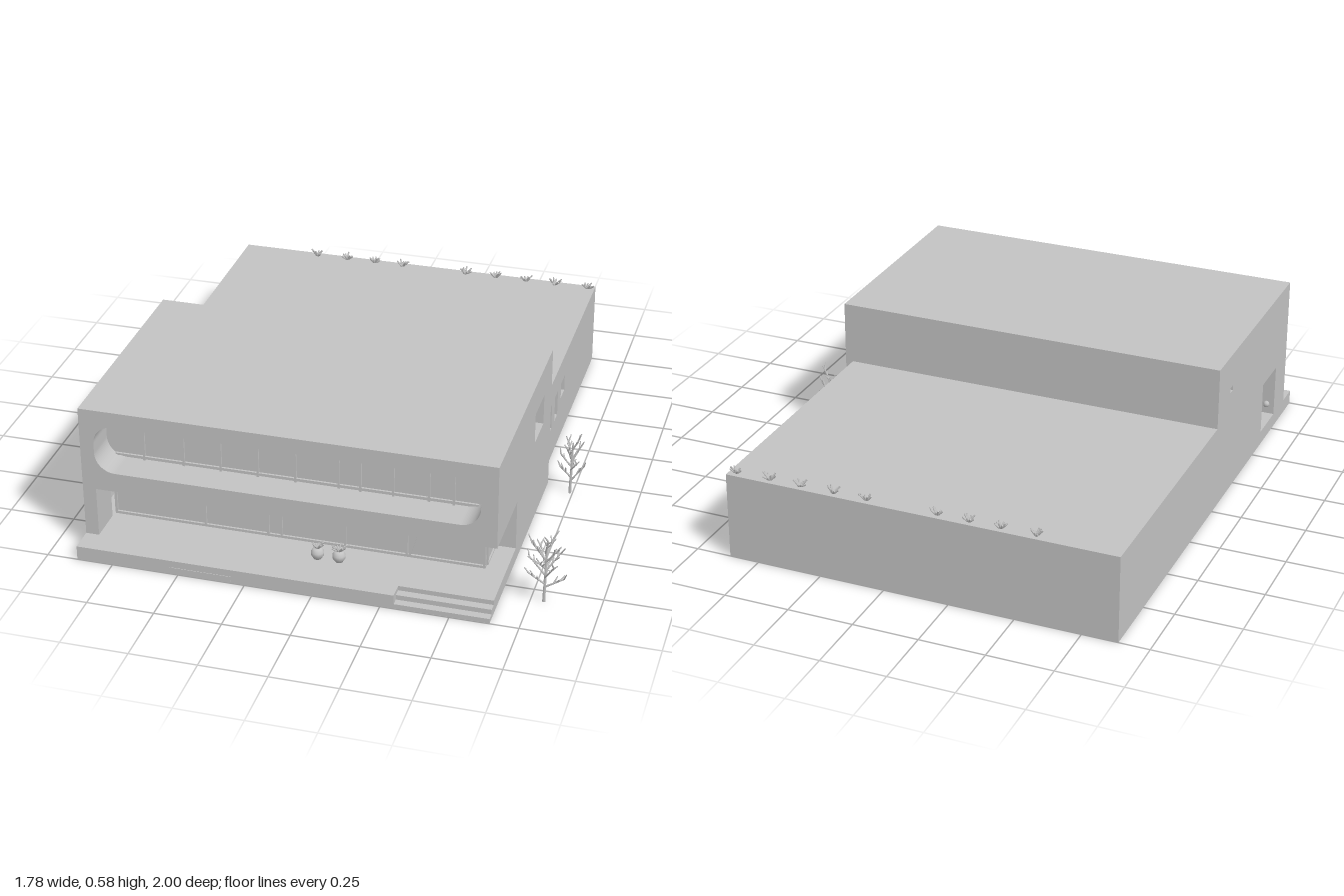
import * as THREE from 'three';
import { mergeGeometries } from 'three/addons/utils/BufferGeometryUtils.js';

export function createModel() {
  const house = new THREE.Group();
  house.name = 'house';
  const grey = new THREE.MeshStandardMaterial({ color: 0xc2c2c2 });
  grey.name = 'plaster grey';

  let seed = 11;
  const rand = () => (seed = (seed * 16807) % 2147483647) / 2147483647;
  const add = (name, geo, parent = house) => {
    const m = new THREE.Mesh(geo, grey);
    m.name = name;
    parent.add(m);
    return m;
  };
  // Box from its minimum and maximum corners
  const block = (name, x0, x1, y0, y1, z0, z1) => add(name,
    new THREE.BoxGeometry(x1 - x0, y1 - y0, z1 - z0)
      .translate((x0 + x1) / 2, (y0 + y1) / 2, (z0 + z1) / 2));
  const rectPath = (a0, a1, b0, b1) => new THREE.Path([
    [a0, b0], [a0, b1], [a1, b1], [a1, b0]].map(p => new THREE.Vector2(...p)));
  // Side wall drawn in (z, y), its outer face at x
  const sideWall = (name, x, thick, outline, holes) => {
    const s = new THREE.Shape(outline.map(p => new THREE.Vector2(...p)));
    holes.forEach(h => s.holes.push(rectPath(...h)));
    const g = new THREE.ExtrudeGeometry(s, { depth: thick, bevelEnabled: false });
    return add(name, g.rotateY(-Math.PI / 2).translate(x, 0, 0));
  };
  // Thin window frame on a plane facing +x
  const sideFrame = (x, z0, z1, y0, y1) => {
    const t = 0.006;
    block('windowFrame', x, x + t, y0, y0 + t, z0, z1);
    block('windowFrame', x, x + t, y1 - t, y1, z0, z1);
    block('windowFrame', x, x + t, y0, y1, z0, z0 + t);
    block('windowFrame', x, x + t, y0, y1, z1 - t, z1);
  };

  // Rear wing with three small windows
  block('rearWing', -0.885, 0.575, 0, 0.335, -1, 0.03);
  const rearWindows = [[-0.155, -0.05, 0.135, 0.24], [-0.265, -0.21, 0.135, 0.24], [-0.395, -0.325, 0.175, 0.24]];
  sideWall('rearWingSideWall', 0.615, 0.04, [[-1, 0], [0.03, 0], [0.03, 0.335], [-1, 0.335]], rearWindows);
  rearWindows.forEach(w => sideFrame(0.575, ...w));
  block('windowMullion', 0.575, 0.583, 0.135, 0.24, -0.088, -0.082);

  // Front block: core, recessed ground floor, upper storey
  block('frontCore', -0.835, 0.6, 0, 0.575, 0.025, 0.59);
  block('groundFloorRoom', -0.835, 0.57, 0.05, 0.25, 0.58, 0.74);
  block('upperRoom', -0.835, 0.6, 0.25, 0.575, 0.58, 0.78);
  sideWall('leftWall', -0.835, 0.05,
    [[0.025, 0], [0.905, 0], [0.905, 0.575], [0.025, 0.575]],
    [[0.6, 0.77, 0.055, 0.26], [0.165, 0.195, 0.42, 0.44]]);
  sideWall('rightWall', 0.645, 0.05,
    [[0.025, 0], [0.59, 0], [0.59, 0.25], [0.905, 0.25], [0.905, 0.575], [0.025, 0.575]],
    [[0.16, 0.31, 0.335, 0.455]]);
  sideFrame(0.6, 0.16, 0.31, 0.335, 0.455);
  sideFrame(0.57, 0.605, 0.73, 0.06, 0.24);

  // Upper facade with the long rounded balcony opening
  const facade = new THREE.Shape([[-0.835, 0.25], [0.595, 0.25], [0.595, 0.575], [-0.835, 0.575]]
    .map(p => new THREE.Vector2(...p)));
  const [l, r, b, t, rad] = [-0.833, 0.585, 0.325, 0.515, 0.075];
  const slot = new THREE.Path();
  slot.absarc(r - rad, t - rad, rad, 0, Math.PI / 2);
  slot.absarc(l + rad, t - rad, rad, Math.PI / 2, Math.PI);
  slot.absarc(l + rad, b + rad, rad, Math.PI, Math.PI * 1.5);
  slot.absarc(r - rad, b + rad, rad, Math.PI * 1.5, Math.PI * 2);
  facade.holes.push(slot);
  add('upperFacade', new THREE.ExtrudeGeometry(facade,
    { depth: 0.13, bevelEnabled: false, curveSegments: 10 }).translate(0, 0, 0.775));

  // Window bars on both storeys
  for (const x of [-0.69, -0.54, -0.4, -0.26, -0.12, 0.04, 0.12, 0.24, 0.37, 0.46])
    block('upperMullion', x - 0.004, x + 0.004, 0.325, 0.515, 0.78, 0.788);
  block('upperWindowHead', -0.8, 0.55, 0.497, 0.505, 0.78, 0.788);
  block('upperWindowSill', -0.8, 0.55, 0.333, 0.341, 0.78, 0.788);
  for (const x of [-0.826, -0.48, -0.24, -0.19, 0.05, 0.28, 0.565])
    block('groundMullion', x - 0.004, x + 0.004, 0.06, 0.25, 0.74, 0.748);
  block('groundWindowHead', -0.83, 0.57, 0.24, 0.25, 0.74, 0.748);
  block('groundWindowSill', -0.83, 0.57, 0.055, 0.065, 0.74, 0.748);
  const brace = add('slantedBar', new THREE.BoxGeometry(0.008, 0.185, 0.008));
  brace.position.set(0.315, 0.15, 0.746);
  brace.rotation.z = -0.27;

  // Terrace and entrance steps
  block('terrace', -0.835, 0.3, 0, 0.055, 0.55, 1);
  block('terraceEdge', -0.885, -0.835, 0, 0.055, 0.9, 1);
  block('terraceRight', 0.3, 0.645, 0, 0.055, 0.55, 0.937);
  block('upperStep', 0.3, 0.645, 0, 0.037, 0.93, 0.968);
  block('lowerStep', 0.3, 0.645, 0, 0.018, 0.96, 0.998);
  block('terracePlate', -0.53, -0.3, 0.006, 0.028, 0.995, 1.002);

  // Small lamp on the left wall
  const lamp = add('wallLamp', new THREE.SphereGeometry(0.013, 8, 6));
  lamp.position.set(-0.885, 0.15, 0.66);

  // Bare branching plants, each merged into one mesh
  const up = new THREE.Vector3(0, 1, 0);
  const twig = (list, p, q, rad) => {
    const d = q.clone().sub(p);
    const g = new THREE.CylinderGeometry(rad * 0.55, rad, d.length(), 5);
    g.applyQuaternion(new THREE.Quaternion().setFromUnitVectors(up, d.normalize()));
    list.push(g.translate((p.x + q.x) / 2, (p.y + q.y) / 2, (p.z + q.z) / 2));
  };
  const tree = (name, x, z, height, spread, boughs) => {
    const list = [], top = new THREE.Vector3(0.005, height * 0.88, 0);
    twig(list, new THREE.Vector3(), top, 0.006);
    for (let i = 0; i < boughs; i++) {
      const a = i * 2.4, f = i / (boughs - 1);
      const p = new THREE.Vector3(0, height * (0.22 + 0.5 * f), 0);
      const reach = spread * (1 - 0.35 * f) * 0.85;
      const q = new THREE.Vector3(Math.cos(a) * reach, p.y + height * (0.16 + 0.12 * rand()), Math.sin(a) * reach * 0.75);
      twig(list, p, q, 0.004);
      for (let k = 0; k < 4; k++) {
        const s = p.clone().lerp(q, 0.45 + 0.17 * k);
        const e = a + (k % 2 ? 0.9 : -0.9);
        twig(list, s, new THREE.Vector3(s.x + Math.cos(e) * spread * 0.22,
          s.y + height * (0.05 + 0.07 * rand()), s.z + Math.sin(e) * spread * 0.22), 0.0035);
      }
    }
    add(name, mergeGeometries(list)).position.set(x, 0, z);
  };
  tree('frontTree', 0.798, 0.815, 0.28, 0.084, 12);
  tree('sideTree', 0.74, 0.075, 0.25, 0.06, 9);

  // Low tufts: leaves fanned out around a centre
  const tuft = (name, x, y, z, radius, height, leaves) => {
    const list = [];
    for (let i = 0; i < leaves; i++) {
      const a = i * 2.4, reach = radius * (0.55 + 0.45 * rand());
      twig(list, new THREE.Vector3(), new THREE.Vector3(Math.cos(a) * reach,
        height * (0.45 + 0.55 * rand()), Math.sin(a) * reach * 0.65), 0.005);
    }
    add(name, mergeGeometries(list)).position.set(x, y, z);
  };
  for (const x of [-0.57, -0.44, -0.32, -0.2, 0.07, 0.2, 0.33, 0.45, 0.585])
    tuft('roofPlant', x, 0.333, -0.975, 0.03, 0.03, 9);

  // Round pots on the terrace
  const potProfile = [[0, 0], [0.014, 0], [0.024, 0.016], [0.024, 0.028], [0.016, 0.042], [0, 0.042]]
    .map(p => new THREE.Vector2(...p));
  for (const x of [-0.025, 0.055]) {
    add('plantPot', new THREE.LatheGeometry(potProfile, 16)).position.set(x, 0.055, 0.84);
    tuft('potPlant', x, 0.095, 0.84, 0.03, 0.03, 10);
  }
  return house;
}
